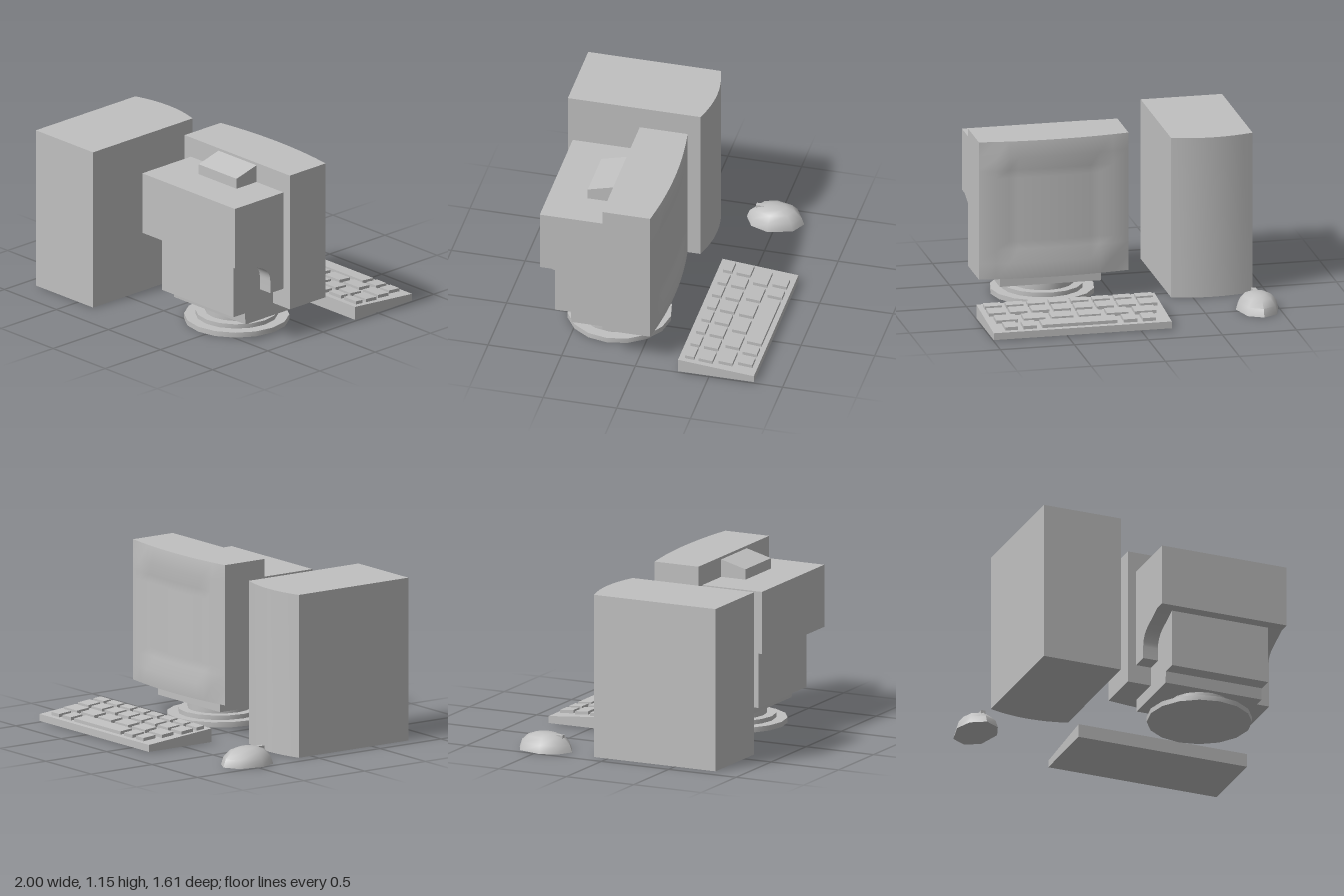
import * as THREE from 'three';
import { toCreasedNormals } from 'three/addons/utils/BufferGeometryUtils.js';

const casing = new THREE.MeshStandardMaterial({ color: 0xc0c0c0 });
casing.name = 'casing gray';

function part(parent, name, geometry, crease = 0.6) {
  const mesh = new THREE.Mesh(toCreasedNormals(geometry, crease), casing);
  mesh.name = name;
  parent.add(mesh);
  return mesh;
}

function group(parent, name) {
  const g = new THREE.Group();
  g.name = name;
  parent.add(g);
  return g;
}

// Side profile of [z, y] points, extruded from x0 to x1
function sideExtrude(profile, x0, x1) {
  const shape = profile instanceof THREE.Shape
    ? profile : new THREE.Shape(profile.map(([z, y]) => new THREE.Vector2(z, y)));
  const g = new THREE.ExtrudeGeometry(shape, { depth: x1 - x0, bevelEnabled: false, curveSegments: 8 });
  return g.rotateY(-Math.PI / 2).translate(x1, 0, 0);
}

function buildTower(root) {
  const s = new THREE.Shape();
  s.moveTo(-0.91, -0.8);
  s.lineTo(-0.36, -0.8);
  s.lineTo(-0.36, 0.1);
  s.quadraticCurveTo(-0.635, 0.19, -0.91, 0.1);
  s.closePath();
  const g = new THREE.ExtrudeGeometry(s, { depth: 1.097, bevelEnabled: false, curveSegments: 8 });
  part(root, 'towerCase', g.rotateX(-Math.PI / 2), 0.3);
}

// Front housing: a box whose screen side bulges, with a shallow sunken screen
function screenHousing() {
  const W = 1.01, H = 0.945, N = 14;
  const g = new THREE.BoxGeometry(1, 1, 1, N, N, 1);
  const p = g.attributes.position;
  const place = (t, size) => {
    const i = Math.round((t + 0.5) * N), k = Math.min(i, N - i);
    const d = k < 3 ? [0, 0.11, 0.2][k] : 0.2 + (k - 2) / (N - 4) * (size - 0.4);
    return [d, i <= N / 2 ? d - size / 2 : size / 2 - d];
  };
  for (let i = 0; i < p.count; i++) {
    const [dx, x] = place(p.getX(i), W);
    const [dy, y] = place(p.getY(i), H);
    let z = 0.24;
    if (p.getZ(i) < 0) {
      const d = Math.min(dx, dy), u = x / (W / 2);
      const rim = d < 0.11 ? d / 0.11 * 0.012 : 0.012 - Math.min(1, (d - 0.11) / 0.09) * 0.02;
      z = -0.085 - 0.04 * (1 - u * u) - rim;
    }
    p.setXYZ(i, x + 0.43, y + 0.678, z);
  }
  return g;
}

function buildMonitor(root) {
  const m = group(root, 'monitor');
  part(m, 'screenHousing', screenHousing());

  // Tube housing with a curved underside
  const s = new THREE.Shape();
  s.moveTo(0.24, 1.015);
  s.lineTo(0.68, 1.015);
  s.lineTo(0.68, 0.595);
  s.lineTo(0.6, 0.595);
  s.lineTo(0.43, 0.528);
  s.quadraticCurveTo(0.36, 0.49, 0.36, 0.42);
  s.lineTo(0.36, 0.335);
  s.lineTo(0.24, 0.335);
  s.closePath();
  part(m, 'tubeHousing', sideExtrude(s, -0.015, 0.875));

  part(m, 'lowerBody', sideExtrude(
    [[0.24, 0.6], [0.6, 0.6], [0.6, 0.2], [0.495, 0.2], [0.49, 0.12], [0, 0.12], [0, 0.21], [0.24, 0.21]],
    0.09, 0.775));
  part(m, 'topHump', sideExtrude([[0.24, 1.01], [0.42, 1.01], [0.42, 1.085], [0.24, 1.133]], 0.25, 0.615));

  // Stepped swivel foot: radius, bottom, top
  const steps = [['footPlate', 0.347, 0, 0.035], ['footStep', 0.272, 0.035, 0.065], ['swivelNeck', 0.21, 0.065, 0.12]];
  for (const [name, r, y0, y1] of steps) {
    const g = new THREE.CylinderGeometry(r, r, y1 - y0, 16);
    part(m, name, g.translate(0.433, (y0 + y1) / 2, 0.248));
  }
}

function buildKeyboard(root) {
  const k = group(root, 'keyboard');
  part(k, 'keyboardSlab', sideExtrude([[-0.29, 0.008], [-0.29, 0.1], [-0.805, 0.055], [-0.805, 0.008]], -0.203, 1));
  const top = z => 0.1 + (z + 0.29) * 0.0874;
  const even = (n, x, pitch, w) => Array.from({ length: n }, (_, i) => [x + i * pitch, x + i * pitch + w]);
  // Each row: back z, front z, key spans in x
  const rows = [
    [-0.33, -0.39, even(8, -0.172, 0.146, 0.115)],
    [-0.42, -0.515, even(8, -0.172, 0.146, 0.115)],
    [-0.55, -0.645, even(6, -0.135, 0.187, 0.145)],
    [-0.675, -0.772, [[-0.102, -0.015], [0.022, 0.113], [0.155, 0.663], [0.7, 0.79], [0.828, 0.914]]],
  ];
  for (const [z0, z1, spans] of rows) {
    for (const [x0, x1] of spans) {
      part(k, 'key', sideExtrude(
        [[z0, top(z0) - 0.01], [z0, top(z0) + 0.022], [z1, top(z1) + 0.022], [z1, top(z1) - 0.01]], x0, x1));
    }
  }
}

function buildMouse(root) {
  const m = group(root, 'mouse');
  const outline = [[0, -0.68], [0.1, -0.625], [0.143, -0.46], [0.1, -0.345], [0, -0.29],
    [-0.1, -0.345], [-0.143, -0.46], [-0.1, -0.625]];
  // Rings: scale, height
  const rings = [[0, 0], [1, 0], [0.9, 0.053], [0.66, 0.095], [0.36, 0.115], [0, 0.12]];
  const pos = [], idx = [], n = outline.length, cz = -0.49;
  for (const [s, y] of rings) {
    for (const [x, z] of outline) pos.push(-0.857 + x * s, y, cz + (z - cz) * s);
  }
  for (let i = 0; i < rings.length - 1; i++) {
    for (let j = 0; j < n; j++) {
      const a = i * n + j, b = i * n + (j + 1) % n;
      if (i > 0) idx.push(a, a + n, b);
      else idx.push(a, a + n, b + n);
      if (i > 0 && i < rings.length - 2) idx.push(b, a + n, b + n);
    }
  }
  const g = new THREE.BufferGeometry();
  g.setAttribute('position', new THREE.Float32BufferAttribute(pos, 3));
  g.setIndex(idx);
  part(m, 'mouseShell', g, 0.9);
  part(m, 'mouseNub', new THREE.BoxGeometry(0.03, 0.05, 0.05).translate(-0.857, 0.085, -0.38));
}

export function createModel() {
  const root = new THREE.Group();
  root.name = 'desktopComputer';
  buildTower(root);
  buildMonitor(root);
  buildKeyboard(root);
  buildMouse(root);
  return root;
}
